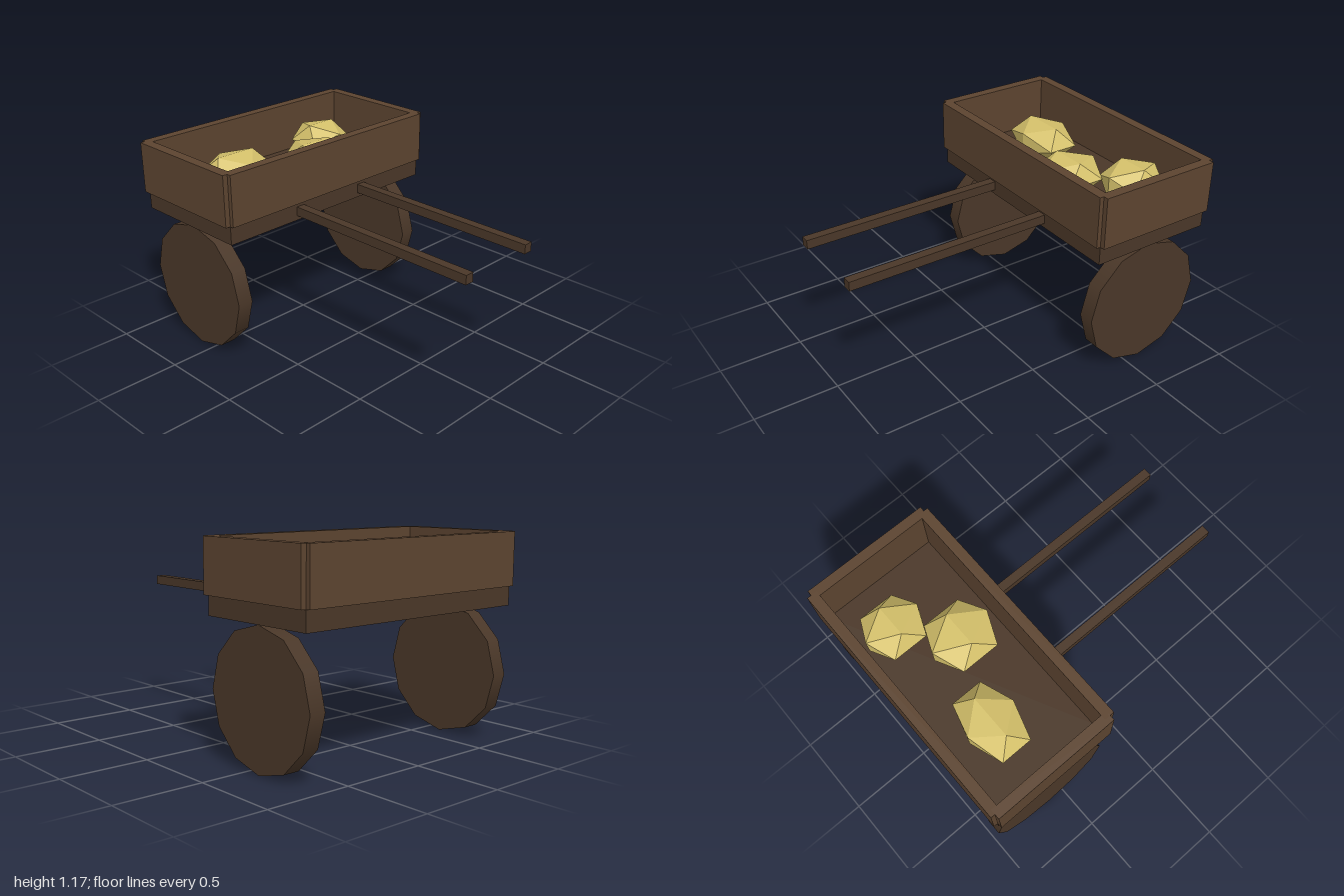
import * as THREE from 'three';

const mat = (color, flatShading = false) => {
  const m = new THREE.MeshStandardMaterial({ flatShading });
  m.color.set(color);
  return m;
};

export function createModel() {
  const cart = new THREE.Group();
  cart.name = 'handcart';
  const darkWood = mat(0x4a3728);
  const wood = mat(0x5c4430);
  const straw = mat(0xd4c06a, true);

  const add = (name, geometry, material, x, y, z) => {
    const mesh = new THREE.Mesh(geometry, material);
    mesh.name = name;
    mesh.position.set(x, y, z);
    cart.add(mesh);
    return mesh;
  };
  const box = (name, material, w, h, d, x, y, z) =>
    add(name, new THREE.BoxGeometry(w, h, d), material, x, y, z);

  // Bed and the four walls standing on it
  const midZ = -0.6;
  box('bed', darkWood, 1.5, 0.11, 0.75, 0, 0.82, midZ);
  box('frontWall', wood, 1.5, 0.3, 0.06, 0, 1.025, midZ + 0.37);
  box('backWall', wood, 1.5, 0.3, 0.06, 0, 1.025, midZ - 0.37);

  // Mirrored side walls, wheels and pulling shafts
  for (const [side, s] of [['left', 1], ['right', -1]]) {
    box(side + 'Wall', wood, 0.06, 0.3, 0.75, s * 0.75, 1.025, midZ);
    const wheel = new THREE.CylinderGeometry(0.38, 0.38, 0.095, 12).rotateZ(Math.PI / 2);
    add(side + 'Wheel', wheel, darkWood, s * 0.68, 0.38, midZ);
    box(side + 'Shaft', darkWood, 0.054, 0.054, 1.23, s * 0.245, 0.82, 0.385);
  }

  // Squashed faceted heaps of cargo: x, z, radius in x, radius in z
  const heaps = [
    [-0.342, -0.672, 0.243, 0.179],
    [0.132, -0.492, 0.202, 0.22],
    [0.405, -0.738, 0.182, 0.202],
  ];
  heaps.forEach(([x, z, rx, rz], i) => {
    add('cargoHeap' + (i + 1), new THREE.IcosahedronGeometry(1, 0), straw, x, 0.975, z)
      .scale.set(rx, 0.12, rz);
  });

  return cart;
}
